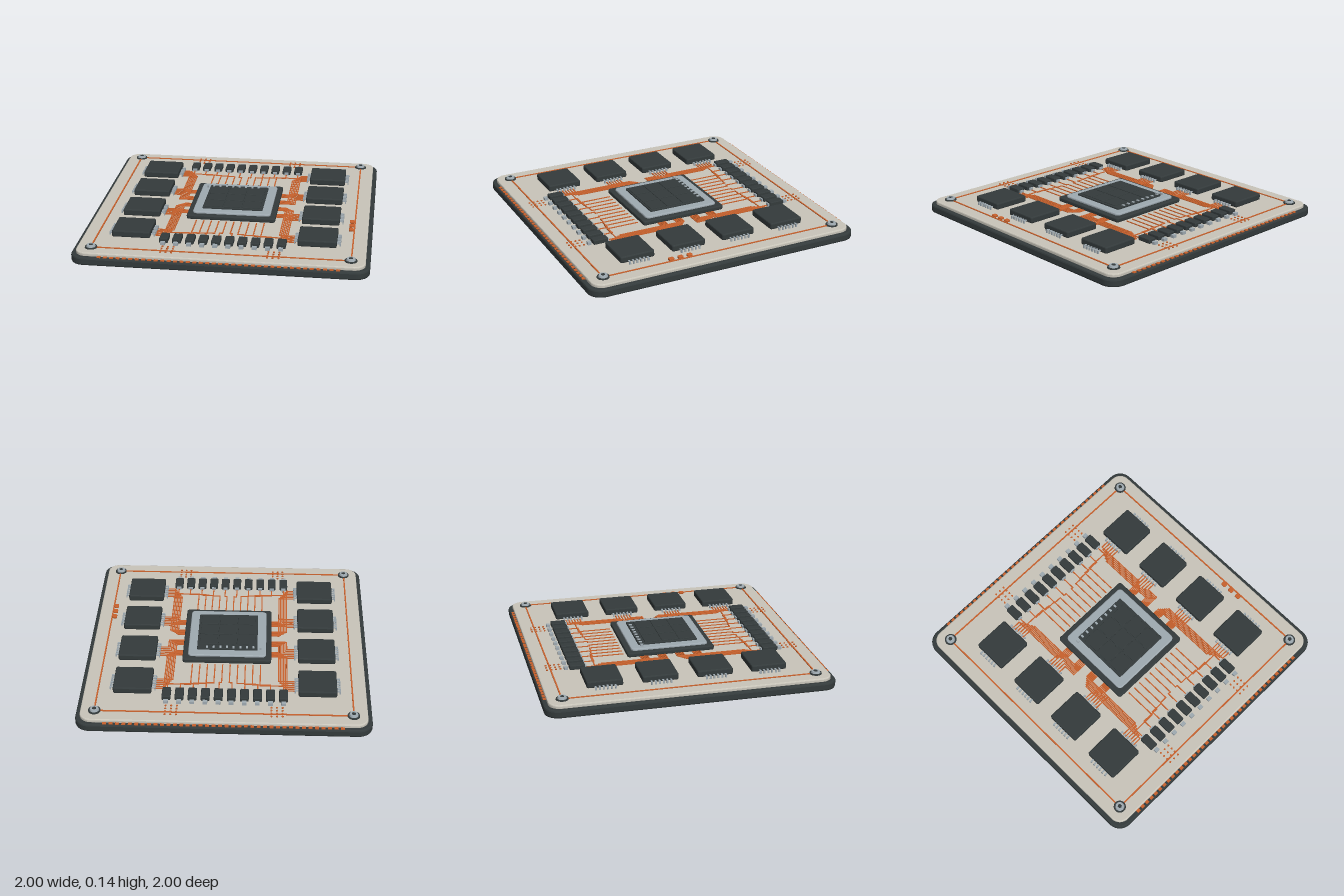
import * as THREE from 'three';
import { mergeGeometries } from 'three/addons/utils/BufferGeometryUtils.js';

const mat = (name, color) => {
  const m = new THREE.MeshStandardMaterial({ color });
  m.name = name;
  return m;
};

export function createModel() {
  const charcoal = mat('charcoal', 0x343b3c);
  const beige = mat('board beige', 0xcac6bb);
  const copper = mat('copper', 0xca622d);
  const silver = mat('silver', 0xa0abb2);
  const model = new THREE.Group();
  model.name = 'processorBoard';
  const TOP = 0.08; // board surface

  const add = (name, geometry, material, parent = model) => {
    const mesh = new THREE.Mesh(geometry, material);
    mesh.name = name;
    parent.add(mesh);
    return mesh;
  };
  const box = (x0, x1, y0, y1, z0, z1) =>
    new THREE.BoxGeometry(x1 - x0, y1 - y0, z1 - z0)
      .translate((x0 + x1) / 2, (y0 + y1) / 2, (z0 + z1) / 2);

  // Rounded rectangular plate with softened top and bottom edges
  const slab = (w, d, r, y0, y1, bevel, cx = 0, cz = 0) => {
    const a = w / 2 - bevel, b = d / 2 - bevel, q = Math.max(r - bevel, 0.002);
    const s = new THREE.Shape();
    s.moveTo(a - q, -b);
    s.absarc(a - q, -b + q, q, -Math.PI / 2, 0);
    s.absarc(a - q, b - q, q, 0, Math.PI / 2);
    s.absarc(-a + q, b - q, q, Math.PI / 2, Math.PI);
    s.absarc(-a + q, -b + q, q, Math.PI, Math.PI * 1.5);
    s.closePath();
    return new THREE.ExtrudeGeometry(s, {
      depth: y1 - y0 - 2 * bevel, bevelEnabled: true, bevelSize: bevel,
      bevelThickness: bevel, bevelSegments: 2, curveSegments: 6,
    }).rotateX(-Math.PI / 2).translate(cx, y0 + bevel, cz);
  };

  // Base and board
  add('base', slab(2, 2, 0.1, 0, 0.057, 0.012), charcoal);
  add('board', slab(1.94, 1.94, 0.08, 0.05, TOP, 0.008), beige);

  // Edge contacts along front and back
  const contacts = [];
  for (const s of [-1, 1])
    for (let i = 0; i < 38; i++) {
      const x = -0.796 + i * 0.043;
      contacts.push(box(x - 0.013, x + 0.013, 0.05, 0.062, s * 0.98 - 0.01, s * 0.98 + 0.01));
    }
  add('edgeContacts', mergeGeometries(contacts), copper);

  // Traces: axis-aligned strips following a list of [x, z] points
  const strips = [];
  const trace = (pts, w = 0.008) => {
    const h = w / 2;
    for (let i = 1; i < pts.length; i++) {
      const [a, b] = pts[i - 1], [c, d] = pts[i];
      strips.push(box(Math.min(a, c) - h, Math.max(a, c) + h, TOP - 0.002, TOP + 0.005,
        Math.min(b, d) - h, Math.max(b, d) + h));
    }
  };
  const e = 0.874;
  trace([[-e, -e], [e, -e], [e, e], [-e, e], [-e, -e]], 0.01);

  // Capacitor rows with end pads and traces to the processor
  const capPads = [];
  for (const s of [-1, 1])
    for (let i = 0; i < 10; i++) {
      const x = -0.402 + i * 0.089, endX = -0.24 + i * 0.0535;
      const bend = 0.565 - 0.007 * Math.min(i, 9 - i);
      add('capacitor', slab(0.06, 0.108, 0.008, TOP, 0.112, 0.005, x, s * 0.692), charcoal);
      for (const z of [0.769, 0.64])
        capPads.push(box(x - 0.016, x + 0.016, TOP - 0.002, 0.1, s * z - 0.013, s * z + 0.013));
      trace([[x, s * 0.63], [x, s * bend], [endX, s * bend], [endX, s * 0.335]]);
    }
  add('capacitorPads', mergeGeometries(capPads), silver);

  // Memory chips with pins and bus traces on both sides
  const pins = [];
  const busStart = [-0.225, -0.098, 0.155, 0.03];
  for (const s of [-1, 1])
    for (let c = 0; c < 4; c++) {
      const cz = -0.565 + c * 0.38, cx = s * 0.636;
      add('memoryChip', slab(0.264, 0.248, 0.014, TOP + 0.006, 0.132, 0.008, cx, cz), charcoal);
      for (let i = 0; i < 6; i++) {
        const z = cz + (i - 2.5) * 0.027;
        for (const side of [-1, 1]) {
          const near = cx + side * 0.125, far = cx + side * 0.154;
          const x0 = Math.min(near, far), x1 = Math.max(near, far);
          pins.push(box(x0, x1, 0.095, 0.102, z - 0.006, z + 0.006));
          pins.push(box(far - 0.004, far + 0.004, TOP - 0.002, 0.102, z - 0.006, z + 0.006));
        }
        const fan = c === 0 || c === 2 ? 5 - i : i;
        const col = s * (0.368 + fan * 0.0115);
        const endZ = busStart[c] + i * 0.0105;
        const startZ = cz + (i - 2.5) * 0.021;
        trace([[s * 0.485, startZ], [col, startZ], [col, endZ], [s * 0.315, endZ]]);
      }
    }
  add('chipPins', mergeGeometries(pins), silver);
  add('traces', mergeGeometries(strips), copper);

  // Processor: frame, metal lid, die with a grid of cells
  const processor = new THREE.Group();
  processor.name = 'processor';
  model.add(processor);
  add('frame', slab(0.63, 0.63, 0.02, TOP, 0.112, 0.008), charcoal, processor);
  add('lid', slab(0.555, 0.555, 0.03, 0.1, 0.126, 0.007), silver, processor);
  add('die', slab(0.43, 0.43, 0.008, 0.12, 0.137, 0.003), charcoal, processor);
  const cells = [];
  for (let i = -1; i <= 1; i++)
    for (let j = -1; j <= 1; j++)
      cells.push(slab(0.126, 0.118, 0.004, 0.134, 0.142, 0.002, i * 0.135, j * 0.125 + 0.02));
  add('dieCells', mergeGeometries(cells), charcoal, processor);
  const ticks = [];
  for (let i = 0; i < 9; i++) {
    const x = -0.236 + i * 0.0475;
    ticks.push(box(x - 0.007, x + 0.007, i ? 0.135 : 0.124, 0.143, -0.207, -0.185));
  }
  add('dieTicks', mergeGeometries(ticks), silver, processor);

  // Corner screws
  for (const sx of [-1, 1])
    for (const sz of [-1, 1]) {
      const screw = new THREE.Group();
      screw.name = 'screw';
      screw.position.set(sx * 0.872, TOP, sz * 0.872);
      model.add(screw);
      const disc = (name, r0, r1, y0, y1, n, m) =>
        add(name, new THREE.CylinderGeometry(r0, r1, y1 - y0, n).translate(0, (y0 + y1) / 2, 0), m, screw);
      disc('washer', 0.041, 0.043, -0.002, 0.008, 24, charcoal);
      disc('head', 0.028, 0.033, 0.006, 0.02, 24, silver);
      disc('socket', 0.015, 0.015, 0.018, 0.0215, 6, charcoal);
    }

  // Via dots in four clusters
  const vias = [];
  for (const sx of [-1, 1])
    for (const sz of [-1, 1])
      for (let i = 0; i < 3; i++)
        for (let j = 0; j < 4; j++)
          vias.push(new THREE.CylinderGeometry(0.007, 0.007, 0.008, 8)
            .translate(sx * (0.32 + i * 0.038), TOP + 0.002, sz * (0.805 + j * 0.031)));
  add('vias', mergeGeometries(vias), copper);

  // Indicator blocks on the right edge
  for (const z of [0.237, 0.304, 0.373])
    add('indicator', slab(0.032, 0.037, 0.008, TOP, 0.096, 0.004, 0.853, z), copper);

  return model;
}
